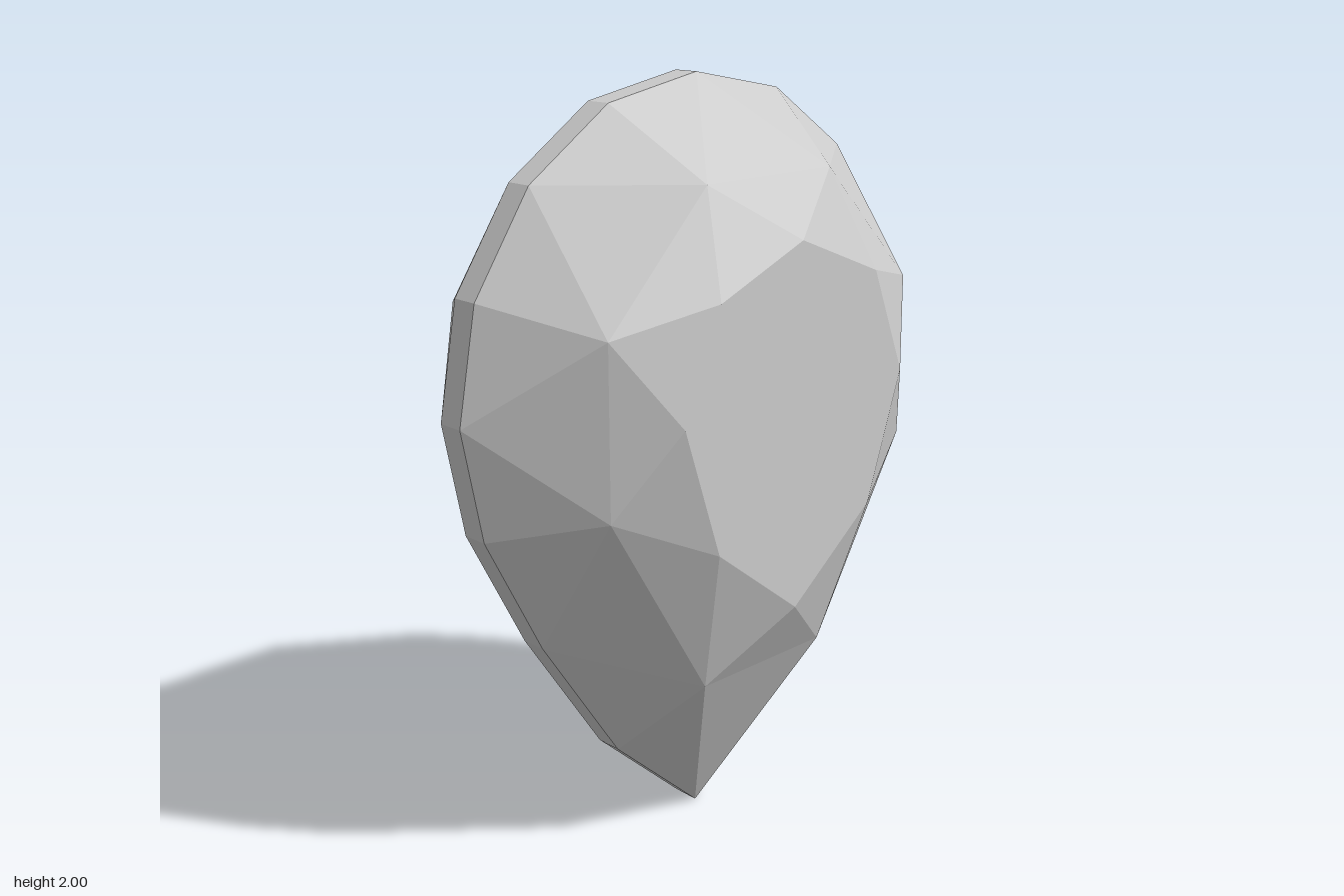
import * as THREE from 'three';

const GIRDLE_Z = 0.036, MID_Z = 0.287, TABLE_Z = 0.395;

// Right-hand half profiles [x, y], from the rounded top to the pointed tip
const OUTLINE = [[0, 2], [0.287, 1.945], [0.53, 1.78], [0.695, 1.535], [0.75, 1.25],
  [0.695, 0.96], [0.53, 0.635], [0.287, 0.265], [0, 0]];
const MIDDLE = [[0.212, 1.775], [0.52, 1.46], [0.52, 1.027], [0.212, 0.512]];
const TABLE = [[0, 1.635], [0.273, 1.525], [0.386, 1.25], [0.273, 0.913], [0, 0.7]];

// Mirror a half profile into a closed counter-clockwise ring at depth z
function ring(half, z) {
  const left = half.map(([x, y]) => [-x, y, z]);
  const right = half.filter(([x], i) => x > 0).map(([x, y]) => [x, y, z]).reverse();
  return [...left, ...right];
}

// Unshared triangles, so every facet stays flat
function facetMesh(name, triangles, material) {
  const geometry = new THREE.BufferGeometry();
  geometry.setAttribute('position', new THREE.Float32BufferAttribute(triangles.flat(2), 3));
  geometry.computeVertexNormals();
  const mesh = new THREE.Mesh(geometry, material);
  mesh.name = name;
  return mesh;
}

// One faceted face of the stone: girdle facets, kites, star facets and table
function crownTriangles() {
  const o = ring(OUTLINE, GIRDLE_Z), m = ring(MIDDLE, MID_Z), t = ring(TABLE, TABLE_Z);
  const triangles = [];
  for (let k = 0; k < 8; k++) {
    const next = (k + 1) % 8, prev = (k + 7) % 8;
    const a = o[2 * k], b = o[2 * k + 1], c = o[(2 * k + 2) % 16];
    triangles.push([a, b, m[k]], [b, c, m[k]]);                    // girdle facets
    triangles.push([a, m[k], m[prev]], [m[k], t[k], m[prev]]);     // kite
    triangles.push([m[k], t[next], t[k]]);                         // star facet
    if (k > 0 && k < 7) triangles.push([t[0], t[k], t[k + 1]]);    // table
  }
  return triangles;
}

// Narrow band around the widest outline
function girdleTriangles() {
  const front = ring(OUTLINE, GIRDLE_Z), back = ring(OUTLINE, -GIRDLE_Z);
  return front.flatMap((a, i) => {
    const j = (i + 1) % front.length;
    return [[a, back[i], back[j]], [a, back[j], front[j]]];
  });
}

export function createModel() {
  const model = new THREE.Group();
  model.name = 'pearCutGem';
  const material = new THREE.MeshStandardMaterial({ color: 0xcccccc, flatShading: true });

  const frontFacets = facetMesh('frontFacets', crownTriangles(), material);
  const backFacets = facetMesh('backFacets', crownTriangles(), material);
  backFacets.rotation.y = Math.PI;
  const girdle = facetMesh('girdle', girdleTriangles(), material);

  model.add(frontFacets, backFacets, girdle);
  return model;
}
